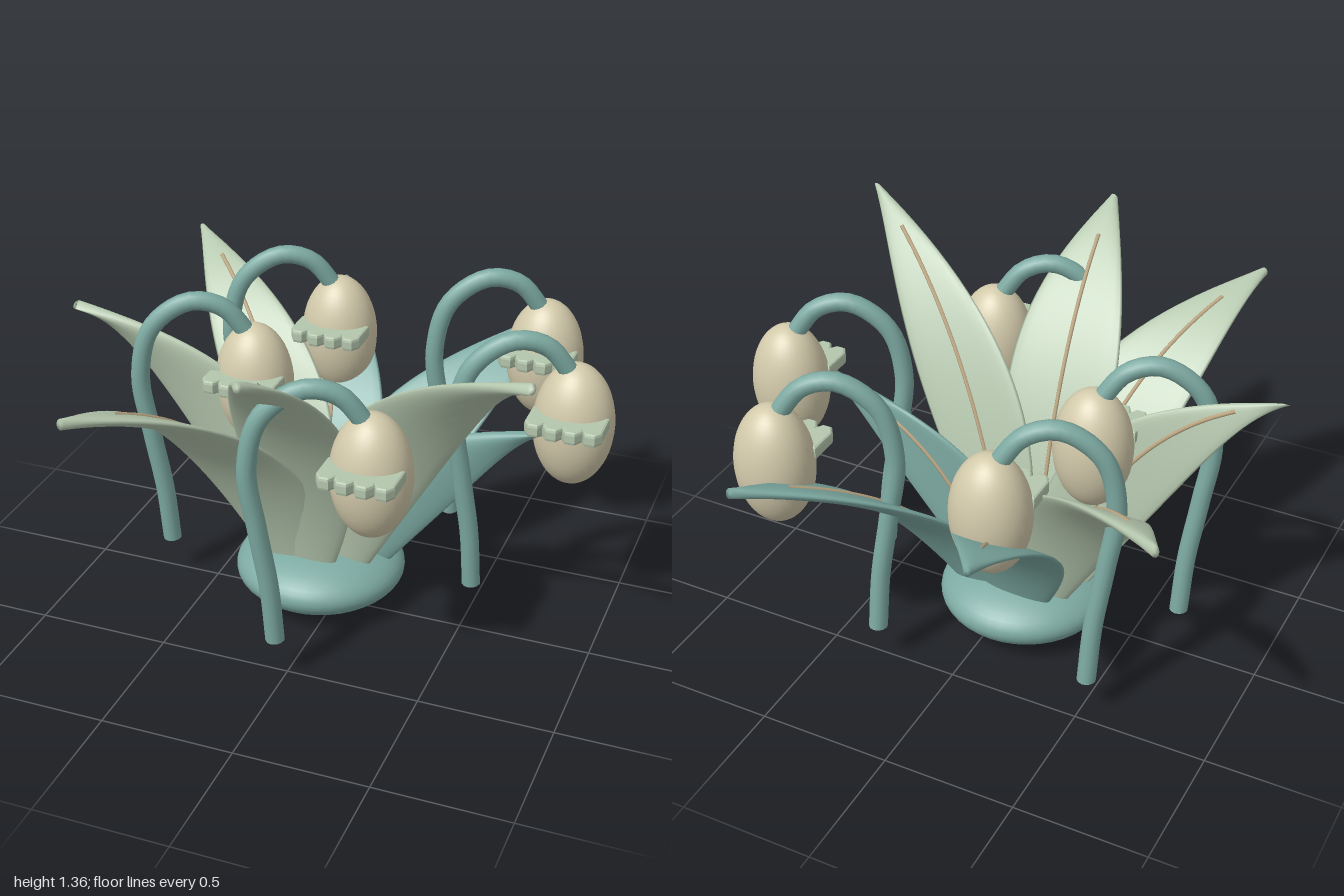
import * as THREE from 'three';

const mat = (name, color, side = THREE.FrontSide) => {
  const m = new THREE.MeshStandardMaterial({ color, side });
  m.name = name;
  return m;
};
const V = (x, y, z) => new THREE.Vector3(x, y, z);

export function createModel() {
  const root = new THREE.Group();
  root.name = 'flowerClump';
  const teal = mat('teal', 0x7daaa2, THREE.DoubleSide);
  const sage = mat('sage', 0xb5c7ae);
  const cream = mat('cream', 0xd3caab);
  const tan = mat('tan', 0xbfa985);

  const add = (parent, name, geo, material, x = 0, y = 0, z = 0) => {
    const m = new THREE.Mesh(geo, material);
    m.name = name;
    m.position.set(x, y, z);
    parent.add(m);
    return m;
  };

  // Flattened bulb that everything grows from
  const cx = -0.08, cz = -0.045;
  add(root, 'bulb', new THREE.SphereGeometry(1, 40, 24), teal, cx, 0.14, cz).scale.set(0.325, 0.13, 0.325);

  // Leaf: lens-shaped sections, always wide along x, swept along a bent spine
  const upper = (t) => V(0, t.z, -t.y).normalize();
  const leafGeometry = (spine) => {
    const N = 28, M = 20, pos = [], idx = [];
    const bend = spine.getTangent(0.8).z > 0 ? 1 : -1;
    for (let i = 0; i <= N + 2; i++) {
      const t = Math.min(Math.max((i - 1) / N, 0), 1);
      const closed = i === 0 || i === N + 2 ? 0 : 1;
      const p = spine.getPoint(t), n = upper(spine.getTangent(t));
      const w = closed * (0.014 + 0.203 * Math.sin(Math.PI * Math.pow(t, 0.9)));
      for (let j = 0; j < M; j++) {
        const a = (j / M) * Math.PI * 2, c = Math.cos(a);
        const h = closed * (0.02 * Math.sin(a) + bend * 0.016 * c * c * Math.sin(Math.PI * t));
        pos.push(p.x + w * c, p.y + n.y * h, p.z + n.z * h);
        if (i < N + 2) {
          const k = (j + 1) % M, q = i * M, r = q + M;
          idx.push(q + j, q + k, r + k, q + j, r + k, r + j);
        }
      }
    }
    const g = new THREE.BufferGeometry();
    g.setAttribute('position', new THREE.Float32BufferAttribute(pos, 3));
    g.setIndex(idx);
    g.computeVertexNormals();
    return g;
  };

  // Tip position, height of the bend, material
  const leaves = [
    [0.86, 1.35, 0.55, 1.05, sage], [0, 1.35, 0.87, 1.05, sage],
    [-0.6, 1.14, 0.94, 0.98, sage], [-0.985, 1.14, 0.1, 0.98, sage], [-0.89, 1.11, -0.81, 0.95, sage],
    [-0.31, 0.92, -0.94, 0.72, teal], [0.6, 0.92, -0.93, 0.72, teal], [0.77, 0.87, -0.042, 0.72, teal],
  ];
  leaves.forEach(([x, y, z, bendY, material]) => {
    const leaf = new THREE.Group();
    leaf.name = 'leaf';
    root.add(leaf);
    const d = Math.hypot(x - cx, z - cz);
    const bx = cx + 0.11 * (x - cx) / d, bz = cz + 0.11 * (z - cz) / d;
    const spine = new THREE.QuadraticBezierCurve3(
      V(bx, 0.01, bz), V(bx + 0.18 * (x - bx), bendY, bz + 0.18 * (z - bz)), V(x, y, z));
    add(leaf, 'leafBlade', leafGeometry(spine), material);
    // Midrib on the inner face
    const side = z > cz ? 1 : -1, pts = [];
    for (let i = 0; i <= 12; i++) {
      const t = (i / 12) * 0.87;
      pts.push(spine.getPoint(t).addScaledVector(upper(spine.getTangent(t)), side * 0.02));
    }
    add(leaf, 'midrib', new THREE.TubeGeometry(new THREE.CatmullRomCurve3(pts), 32, 0.008, 6), tan);
  });

  // Nodding stem, relative to the bell it carries
  const stemPath = new THREE.CatmullRomCurve3([
    V(-0.325, 0.17, 0.1), V(-0.335, 0.4, 0.12), V(-0.365, 0.65, 0.145), V(-0.39, 0.9, 0.165),
    V(-0.34, 1.1, 0.15), V(-0.21, 1.2, 0.1), V(-0.1, 1.175, 0.05), V(-0.01, 1.05, 0.005),
  ]);
  const stemGeo = new THREE.TubeGeometry(stemPath, 40, 0.035, 12);
  const capGeo = new THREE.CircleGeometry(0.035, 12).rotateX(Math.PI / 2);
  const bellGeo = new THREE.SphereGeometry(1, 32, 24);

  // Scalloped frill: four lobes along the front edge
  const outline = [[-0.136, 0.05]];
  for (let i = 0; i < 4; i++) {
    const c = -0.102 + i * 0.068, f = i === 0 || i === 3 ? 0.175 : 0.185;
    outline.push([c - 0.034, f - 0.015], [c - 0.016, f + 0.015], [c + 0.016, f + 0.015], [c + 0.034, f - 0.015]);
  }
  outline.push([0.136, 0.05]);
  const frillShape = new THREE.Shape(outline.map(([x, z]) => new THREE.Vector2(x, -z)));
  const frillGeo = new THREE.ExtrudeGeometry(frillShape, {
    depth: 0.026, bevelEnabled: true, bevelThickness: 0.012, bevelSize: 0.008, bevelOffset: -0.004, bevelSegments: 2,
  }).rotateX(-Math.PI / 2);

  // Flowers
  [[-0.2, -0.565], [0.61, -0.64], [-0.345, -0.055], [0.845, -0.16], [0.295, 0.44]].forEach(([x, z]) => {
    const flower = new THREE.Group();
    flower.name = 'flower';
    flower.position.set(x, 0, z);
    root.add(flower);
    add(flower, 'stem', stemGeo, teal);
    add(flower, 'stemEnd', capGeo, teal, -0.325, 0.17, 0.1);
    add(flower, 'bell', bellGeo, cream, 0, 0.865, 0).scale.set(0.148, 0.237, 0.136);
    add(flower, 'frill', frillGeo, sage, 0, 0.897, 0);
  });

  return root;
}
